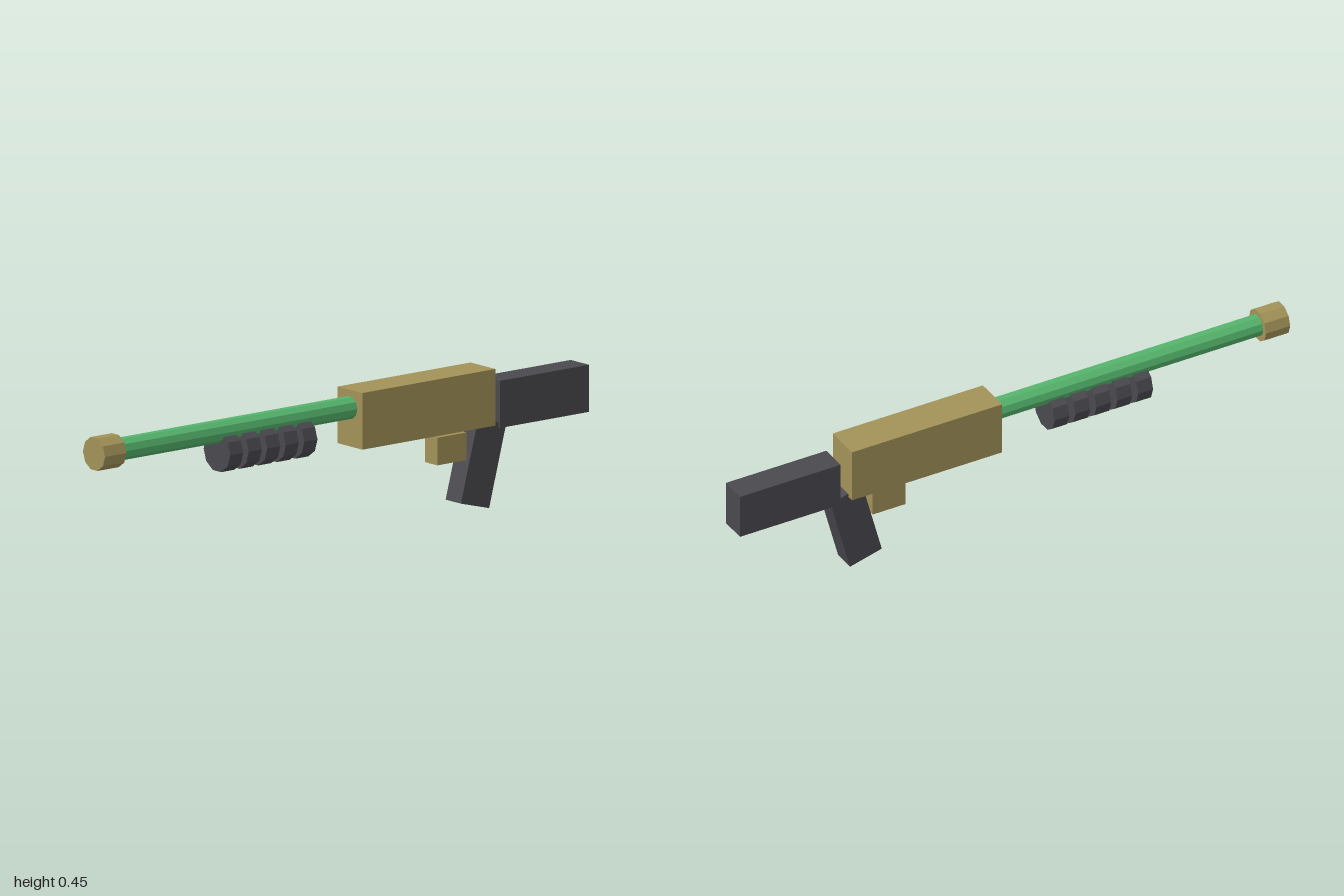
import * as THREE from 'three';

const material = (color) => new THREE.MeshStandardMaterial({ color, flatShading: true });

export function createModel() {
  const model = new THREE.Group();
  model.name = 'toyBlaster';
  const khaki = material(0xa39358);
  const green = material(0x55b56d);
  const dark = material(0x4a494f);

  const add = (name, geometry, mat, x, y, parent = model) => {
    const mesh = new THREE.Mesh(geometry, mat);
    mesh.name = name;
    mesh.position.set(x, y, 0);
    parent.add(mesh);
    return mesh;
  };
  const box = (name, w, h, d, mat, x, y) => add(name, new THREE.BoxGeometry(w, h, d), mat, x, y);
  // Ten-sided rod lying along x, from x0 to x1
  const rod = (name, r, x0, x1, y, mat, parent) =>
    add(name, new THREE.CylinderGeometry(r, r, x1 - x0, 10).rotateZ(Math.PI / 2), mat, (x0 + x1) / 2, y, parent);

  // Barrel and its end cap
  rod('barrel', 0.0366, -0.95, 0.06, 0.398, green);
  rod('muzzle', 0.055, -1, -0.912, 0.397, khaki);

  // Pump handle: five separate rings
  const pump = new THREE.Group();
  pump.name = 'pumpHandle';
  model.add(pump);
  for (let i = 0; i < 5; i++) {
    const x = -0.467 + i * 0.0763;
    rod('pumpRing', 0.066, x - 0.027, x + 0.027, 0.332, dark, pump);
  }

  // Body, trigger block and stock
  box('receiver', 0.547, 0.184, 0.123, khaki, 0.3275, 0.363);
  box('triggerBlock', 0.12, 0.09, 0.061, khaki, 0.448, 0.212);
  box('stock', 0.367, 0.153, 0.091, dark, 0.8165, 0.3325);

  // Slanted hand grip
  const grip = box('grip', 0.12, 0.274, 0.076, dark, 0.572, 0.148);
  grip.rotation.z = -0.26;

  return model;
}
